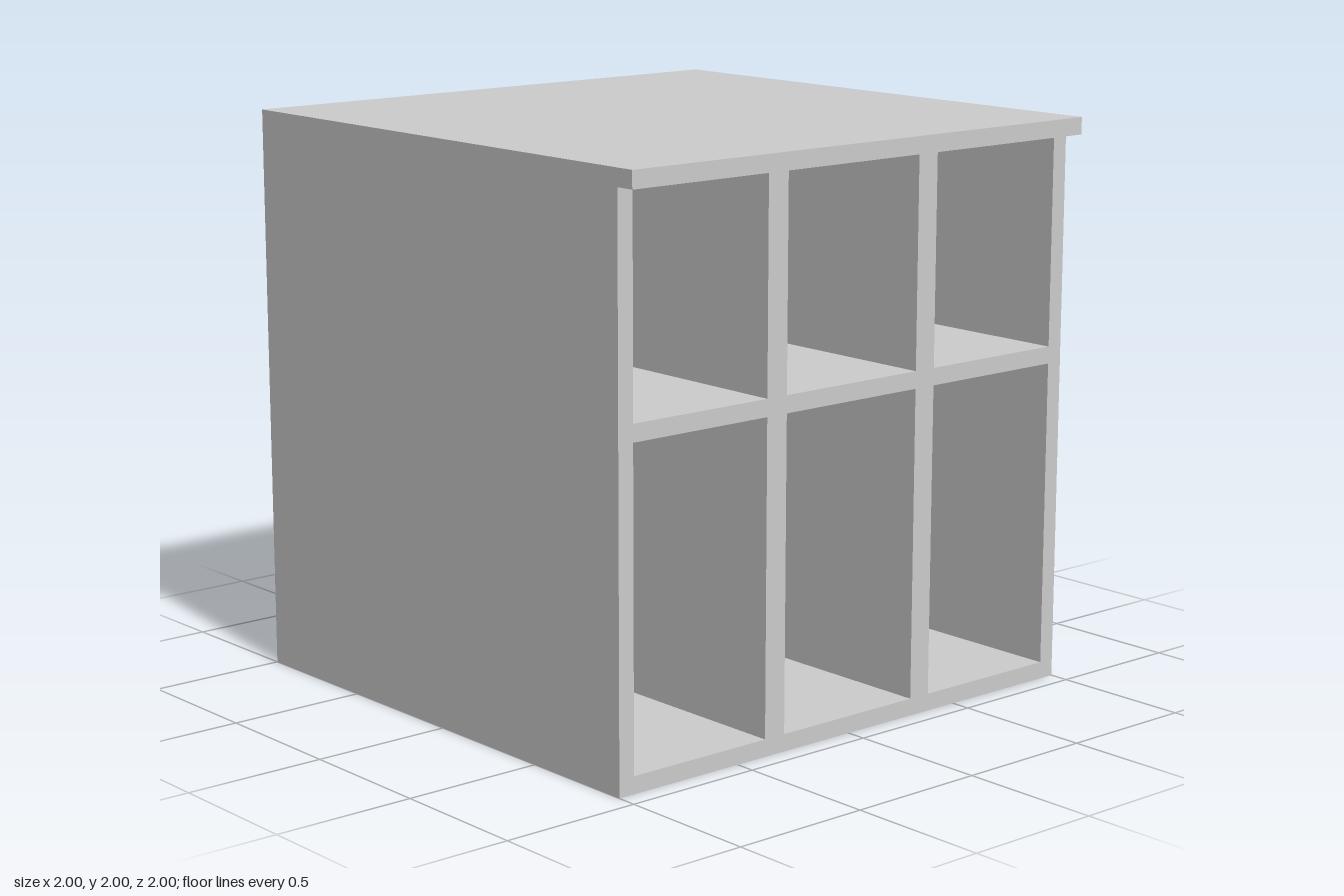
import * as THREE from 'three';

const T = 0.06;        // board thickness
const FRONT = 0.93;    // front edge of the carcass
const BACK = -0.94;    // outer face of the recessed back panel

export function createModel() {
  const cabinet = new THREE.Group();
  cabinet.name = 'cubbyCabinet';
  const material = new THREE.MeshStandardMaterial({ color: 0xcccccc });

  // Board spanning the given ranges on each axis
  const board = (name, [x0, x1], [y0, y1], [z0, z1]) => {
    const mesh = new THREE.Mesh(new THREE.BoxGeometry(x1 - x0, y1 - y0, z1 - z0), material);
    mesh.position.set((x0 + x1) / 2, (y0 + y1) / 2, (z0 + z1) / 2);
    mesh.name = name;
    cabinet.add(mesh);
  };

  const inner = [-1 + T, 1 - T];
  const height = [T, 2 - T];
  const depth = [BACK + T, FRONT];

  // Top overhangs the front; the sides run past the back panel
  board('top', [-1, 1], [2 - T, 2], [-1, 1]);
  board('leftSide', [1 - T, 1], [0, 2 - T], [-1, FRONT]);
  board('rightSide', [-1, -1 + T], [0, 2 - T], [-1, FRONT]);
  board('bottom', inner, [0, T], [BACK, FRONT]);
  board('backPanel', inner, height, [BACK, BACK + T]);

  // Two upright dividers
  board('leftDivider', [0.29, 0.375], height, depth);
  board('rightDivider', [-0.38, -0.295], height, depth);

  // One shelf in each of the three bays
  const bays = [[-1 + T, -0.38], [-0.295, 0.29], [0.375, 1 - T]];
  bays.forEach((bay, i) => board(`shelf${i + 1}`, bay, [1.14, 1.2], depth));

  return cabinet;
}
